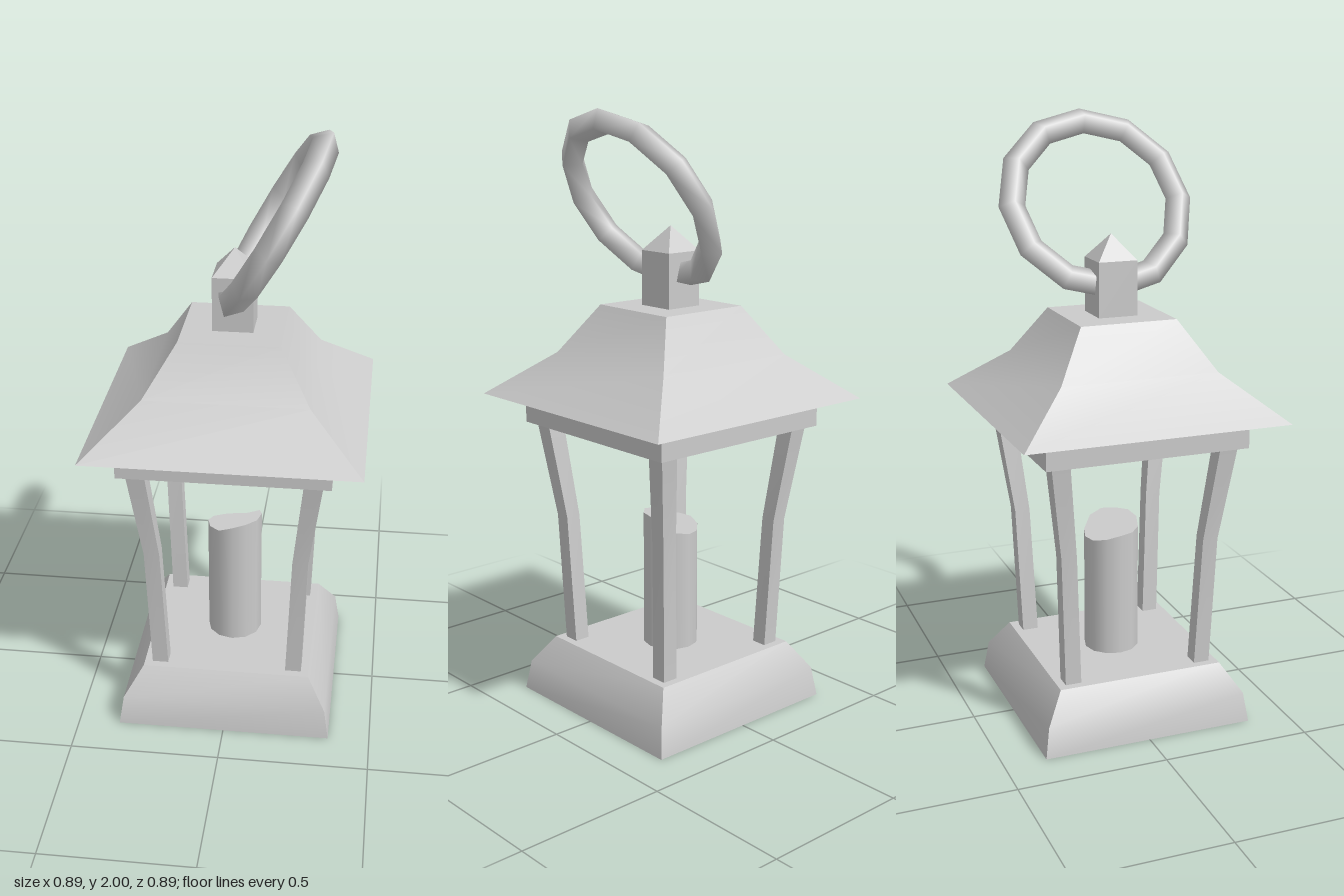
import * as THREE from 'three';

const material = new THREE.MeshStandardMaterial({ color: 0xcccccc });
const CORNERS = [[-1, 1], [1, 1], [1, -1], [-1, -1]];

function geometryFrom(positions, indices) {
  const g = new THREE.BufferGeometry();
  g.setAttribute('position', new THREE.Float32BufferAttribute(positions, 3));
  g.setIndex(indices);
  g.computeVertexNormals();
  return g;
}

function part(name, geometry) {
  const m = new THREE.Mesh(geometry, material);
  m.name = name;
  return m;
}

// Square-section loft, levels are [y, halfWidth, centreX, centreZ].
// Corners stay sharp, bends along the height are smooth.
function squareLoft(levels) {
  const pos = [], idx = [];
  const corner = ([y, h, cx = 0, cz = 0], k) => {
    const [sx, sz] = CORNERS[k % 4];
    pos.push(cx + sx * h, y, cz + sz * h);
  };
  for (let k = 0; k < 4; k++) {
    const start = pos.length / 3;
    levels.forEach((level, i) => {
      corner(level, k);
      corner(level, k + 1);
      if (i === 0) return;
      const a = start + 2 * (i - 1);
      idx.push(a, a + 1, a + 3, a, a + 3, a + 2);
    });
  }
  // End caps
  const b = pos.length / 3;
  for (let k = 0; k < 4; k++) corner(levels[0], k);
  for (let k = 0; k < 4; k++) corner(levels[levels.length - 1], k);
  idx.push(b, b + 2, b + 1, b, b + 3, b + 2, b + 4, b + 5, b + 6, b + 4, b + 6, b + 7);
  return geometryFrom(pos, idx);
}

// Candle: smooth cylinder whose rim has melted down on one side
function candleGeometry() {
  const rim = [0.66, 0.66, 0.66, 0.65, 0.63, 0.625, 0.622, 0.61, 0.60, 0.60, 0.61, 0.645];
  const n = rim.length, g = new THREE.CylinderGeometry(0.093, 0.093, 1, n, 1);
  const p = g.attributes.position;
  for (let i = 0; i < p.count; i++) {
    const x = p.getX(i), z = p.getZ(i);
    if (p.getY(i) < 0) { p.setY(i, 0.19); continue; }
    const k = Math.round(Math.atan2(z, x) / (2 * Math.PI) * n + n) % n;
    p.setY(i, Math.hypot(x, z) < 0.01 ? 0.645 : rim[k]);
  }
  return g;
}

export function createModel() {
  const group = new THREE.Group();
  group.name = 'lantern';

  // Base, collar under the roof, and flared roof
  group.add(part('base', squareLoft([[0, 0.36], [0.1, 0.345], [0.195, 0.283]])));
  group.add(part('collar', squareLoft([[0.965, 0.343], [1.06, 0.343]])));
  group.add(part('roof', squareLoft([[1.06, 0.443], [1.205, 0.265], [1.365, 0.163]])));

  // Finial: square block with a pyramid cap
  group.add(part('finialBlock', squareLoft([[1.365, 0.066], [1.545, 0.066]])));
  group.add(part('finialCap', squareLoft([[1.545, 0.066], [1.625, 0.0005]])));

  // Four corner posts bending outward toward the top
  for (const [sx, sz] of CORNERS) {
    const levels = [[0.19, 0.027, 0.229], [0.64, 0.026, 0.246], [0.97, 0.031, 0.286]]
      .map(([y, h, c]) => [y, h, sx * c, sz * c]);
    group.add(part('post', squareLoft(levels)));
  }

  group.add(part('candle', candleGeometry()));

  // Carrying ring, leaning to one side through the finial
  const ring = part('ring', new THREE.TorusGeometry(0.29, 0.045, 4, 12).rotateY(Math.PI / 2));
  ring.rotation.z = -Math.PI / 6;
  ring.position.set(0.13, 1.71, 0);
  group.add(ring);

  return group;
}
